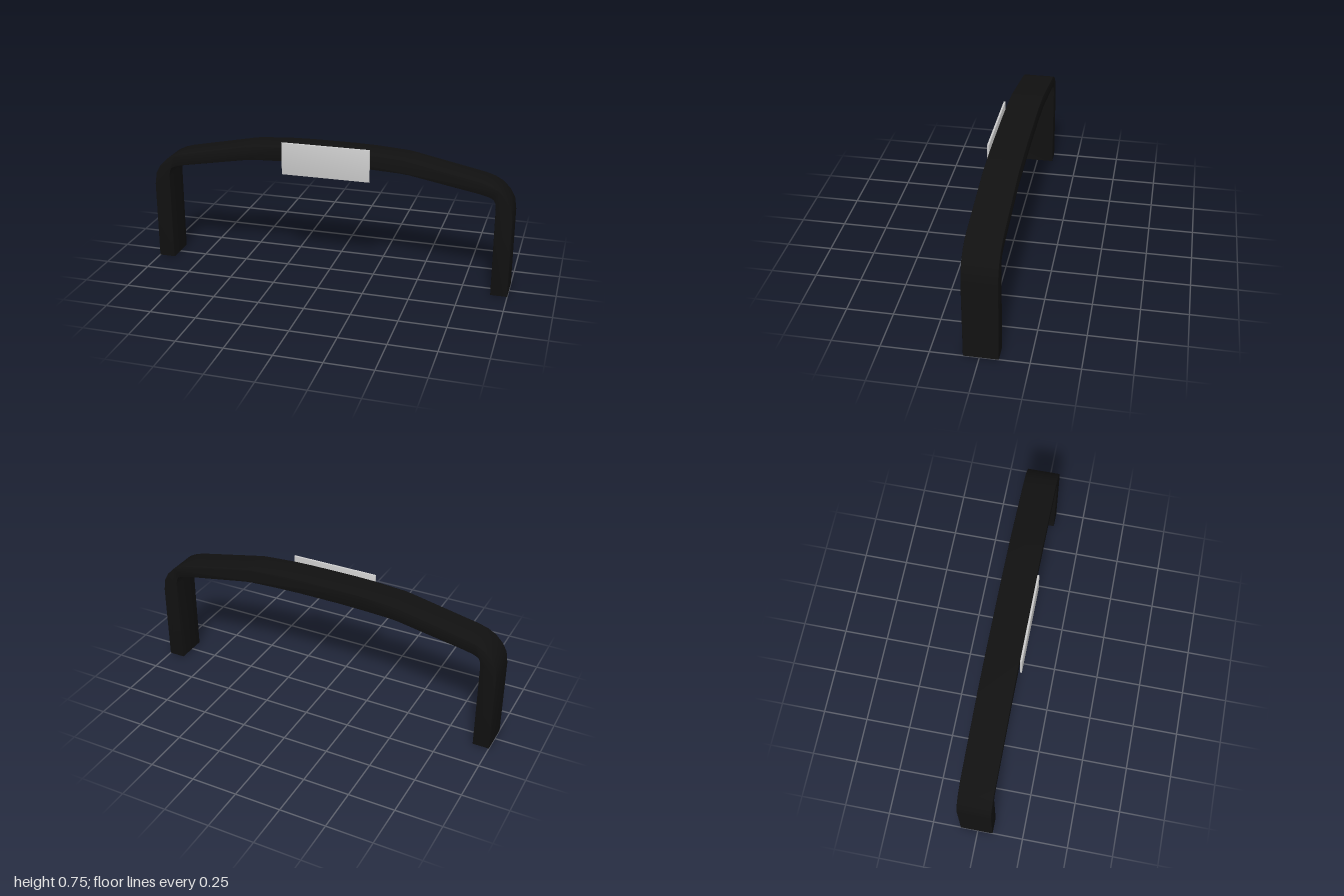
import * as THREE from 'three';
import { toCreasedNormals } from 'three/addons/utils/BufferGeometryUtils.js';

// Extrude a shape between two z planes with a small edge bevel kept inside the outline.
function slab(name, shape, z0, z1, bevel, color) {
  let geo = new THREE.ExtrudeGeometry(shape, {
    depth: z1 - z0 - 2 * bevel, curveSegments: 6,
    bevelEnabled: true, bevelThickness: bevel, bevelSize: bevel, bevelOffset: -bevel, bevelSegments: 2,
  });
  geo.translate(0, 0, z0 + bevel);
  geo = toCreasedNormals(geo, 0.6);
  const mesh = new THREE.Mesh(geo, new THREE.MeshStandardMaterial({ color }));
  mesh.name = name;
  return mesh;
}

export function createModel() {
  const group = new THREE.Group();
  group.name = 'archBar';

  // Half outlines from the right foot to the crown, mirrored for the other half
  const outer = [[1, 0], [1, 0.44], [0.99, 0.505], [0.965, 0.55], [0.925, 0.591], [0.88, 0.615], [0.83, 0.63],
    [0.46, 0.705], [0.42, 0.712], [0.24, 0.724], [0.12, 0.727]];
  const inner = [[0.91, 0], [0.91, 0.49], [0.906, 0.523], [0.895, 0.542], [0.87, 0.554], [0.82, 0.566],
    [0.45, 0.632], [0.4, 0.637], [0.24, 0.644], [0.12, 0.647]];
  const mirror = (pts) => pts.map(([x, y]) => [-x, y]).reverse();
  const outline = [...outer, ...mirror(outer), ...mirror(inner).reverse(), ...[...inner].reverse()];
  const arch = new THREE.Shape(outline.map(([x, y]) => new THREE.Vector2(x, y)));
  group.add(slab('archedBar', arch, -0.097, 0.083, 0.004, 0x111111));

  // Flat rectangular plate on the front of the crown
  const w = 0.243, y0 = 0.575, y1 = 0.755;
  const plate = new THREE.Shape([[-w, y0], [w, y0], [w, y1], [-w, y1]].map(([x, y]) => new THREE.Vector2(x, y)));
  group.add(slab('frontPlate', plate, 0.086, 0.098, 0.004, 0xcccccc));

  return group;
}
